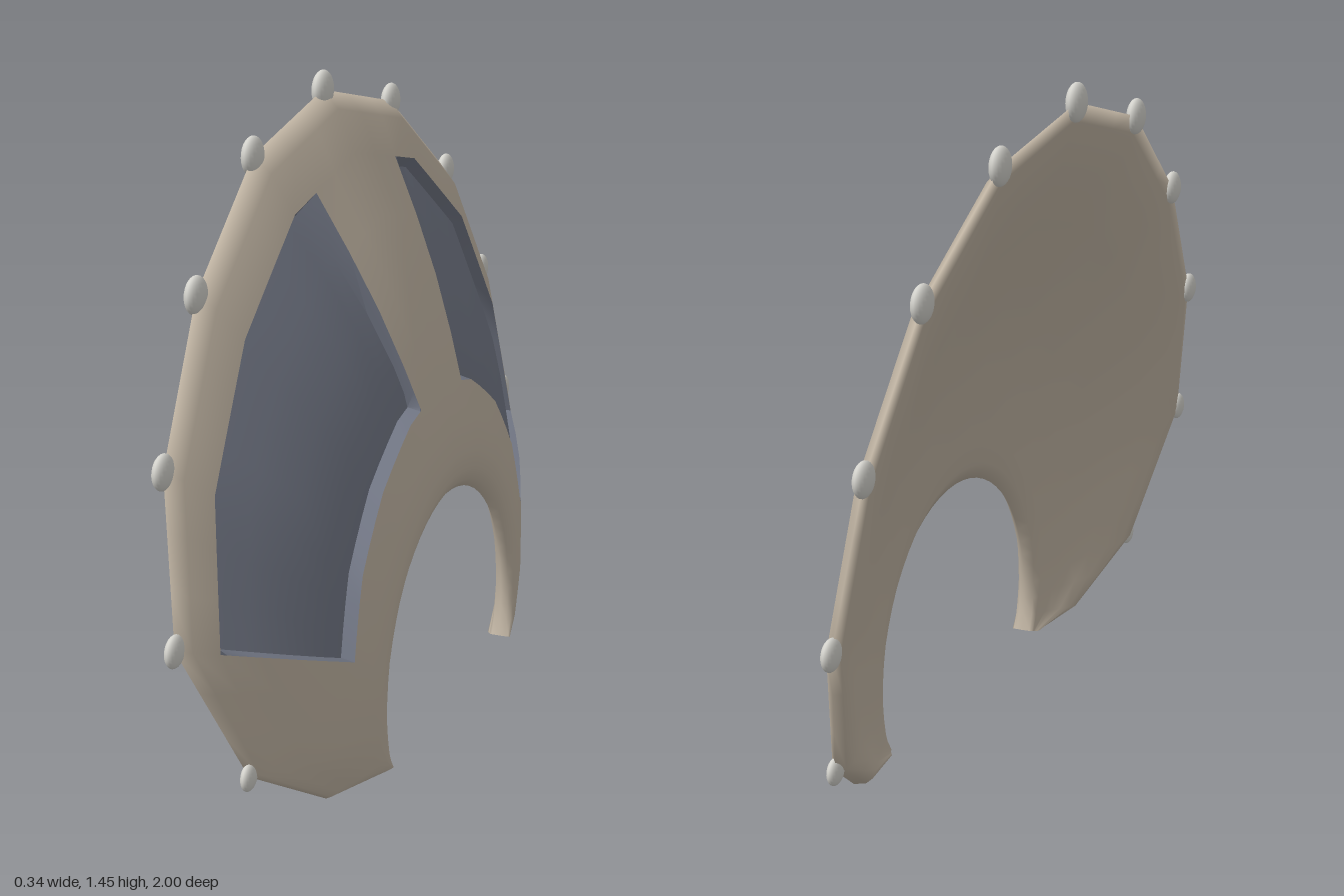
import * as THREE from 'three';
import { toCreasedNormals } from 'three/addons/utils/BufferGeometryUtils.js';

const DEG = Math.PI / 180, CENTRE_Y = 0.11, INNER_R = 0.4, FRONT_X = 0.17;

// Outer rim of one half: angle from the top, z, y, x
const RIM = [
  [0, 0, 1.413, -0.155], [17.4, 0.383, 1.332, -0.147], [34.8, 0.7, 1.112, -0.125],
  [52.2, 0.906, 0.814, -0.1], [69.6, 0.966, 0.475, -0.055], [87, 0.815, 0.155, 0.025],
  [98.5, 0.6, 0.02, 0.1], [104.4, 0.42, 0.004, 0.15],
];
// Angles of the cross-sections and the part of them that holds a panel
const HALF = [6, 11.5, 17.4, 23.2, 29, 34.8, 40.6, 46.4, 52.2, 58, 63.8, 69.6, 75.4, 81.2, 87, 92.75, 98.5, 104.4];
const ANGLES = [...HALF.map((a) => -a).reverse(), 0, ...HALF];
const PANEL_A = [11.5, 69.6], PANEL_T = [0.15, 0.72];

// Cross-section: [share of the way from rim to arch, share of the forward rise, depth behind that]
const FRONT = [[0, 0, 0], [0.045, 0.115, 0], [0.15, 0.24, 0], [0.3, 0.44, 0], [0.45, 0.62, 0], [0.6, 0.77, 0],
  [0.72, 0.875, 0], [0.82, 0.95, 0], [0.9, 0.99, 0], [0.95, 1, 0.004], [0.98, 1, 0.013], [1, 1, 0.028]];
const BACK = [[0.96, 1, 0.047], [0.9, 0.99, 0.053], [0.72, 0.875, 0.053], [0.6, 0.77, 0.053],
  [0.45, 0.62, 0.053], [0.3, 0.44, 0.053], [0.15, 0.24, 0.046], [0.045, 0.115, 0.032]];
const SECTION = [...FRONT, ...BACK];

// Panel floor: [share towards the arch, depth below the shell]
const FLOOR = [[0.175, 0.03], [0.3, 0.022], [0.45, 0.018], [0.6, 0.018], [0.67, 0.021], [0.712, 0.028]];

// Linear interpolation in a table of rows sorted by their first entry
function lookup(table, key) {
  let i = 1;
  while (i < table.length - 1 && table[i][0] < key) i++;
  const a = table[i - 1], b = table[i], s = (key - a[0]) / (b[0] - a[0]);
  return a.map((v, k) => v + (b[k] - v) * s);
}

// Point of the shell at an angle, a share t towards the arch, a rise f and a depth
function shellPoint(angle, [t, f, depth]) {
  const [, rz, ry, rx] = lookup(RIM, Math.abs(angle));
  const side = Math.sign(angle), a = angle * DEG;
  const z = THREE.MathUtils.lerp(rz * side, Math.sin(a) * INNER_R, t);
  const y = THREE.MathUtils.lerp(ry, CENTRE_Y + Math.cos(a) * INNER_R, t);
  return [THREE.MathUtils.lerp(rx, FRONT_X, f) - depth, y, z];
}

function indexedGeometry(positions, index) {
  const geometry = new THREE.BufferGeometry();
  geometry.setAttribute('position', new THREE.Float32BufferAttribute(positions, 3));
  geometry.setIndex(index);
  geometry.computeVertexNormals();
  return geometry;
}

// Crescent shell, left open where the panels are sunk in
function shellGeometry() {
  const n = SECTION.length, positions = [], index = [];
  ANGLES.forEach((angle) => SECTION.forEach((row) => positions.push(...shellPoint(angle, row))));
  for (let i = 0; i < ANGLES.length - 1; i++) {
    const mid = Math.abs(ANGLES[i] + ANGLES[i + 1]) / 2;
    const inAngle = mid > PANEL_A[0] && mid < PANEL_A[1];
    for (let j = 0; j < n; j++) {
      const t = SECTION[j][0];
      if (inAngle && j < FRONT.length - 1 && t >= PANEL_T[0] && t < PANEL_T[1]) continue;
      const k = (j + 1) % n;
      const a = i * n + j, b = a + n, c = (i + 1) * n + k, d = i * n + k;
      index.push(a, b, c, a, c, d);
    }
  }
  return indexedGeometry(positions, index);
}

// Flat end of the crescent
function tipGeometry(side) {
  const n = SECTION.length, index = [];
  const points = SECTION.map((row) => shellPoint(side * 104.4, row));
  const middle = [0, 1, 2].map((k) => points.reduce((sum, p) => sum + p[k], 0) / n);
  for (let j = 0; j < n; j++) {
    const k = (j + 1) % n;
    index.push(n, ...(side > 0 ? [k, j] : [j, k]));
  }
  return indexedGeometry([...points, middle].flat(), index);
}

// Sunken panel: a floor that follows the shell and dips towards its ends,
// with a wall near the top that leans more towards the rim
function panelGeometry(side) {
  const inner = HALF.filter((a) => a > PANEL_A[0] && a < PANEL_A[1]);
  const columns = [PANEL_A[0], PANEL_A[0] + 0.4, ...inner, PANEL_A[1] - 0.5, PANEL_A[1]];
  if (side < 0) columns.reverse();
  const rows = [[PANEL_T[0], 0], ...FLOOR, [PANEL_T[1], 0]];
  const positions = [], index = [], m = rows.length;
  columns.forEach((column, i) => rows.forEach(([t, depth], j) => {
    const onSide = i === 0 || i === columns.length - 1;
    const onEnd = j === 0 || j === m - 1;
    const lean = column === PANEL_A[0] + 0.4 && !onEnd ? 3 * (1 - t / PANEL_T[1]) : 0;
    const rise = lookup(FRONT, t)[1];
    positions.push(...shellPoint(side * (column + lean), [t, rise, onSide ? 0 : depth]));
    if (i < columns.length - 1 && j < m - 1) {
      const a = i * m + j, b = a + m;
      index.push(a, b, b + 1, a, b + 1, a + 1);
    }
  }));
  return toCreasedNormals(indexedGeometry(positions, index), 0.6);
}

export function createModel() {
  const tan = new THREE.MeshStandardMaterial({ color: 0xbfb3a2, side: THREE.DoubleSide });
  tan.name = 'tan';
  const slate = new THREE.MeshStandardMaterial({ color: 0x727785, side: THREE.DoubleSide });
  slate.name = 'slate blue';
  const pearl = new THREE.MeshStandardMaterial({ color: 0xd2d1cb });
  pearl.name = 'pearl';

  const model = new THREE.Group();
  model.name = 'crescentHeadpiece';
  const add = (name, geometry, material) => {
    const mesh = new THREE.Mesh(geometry, material);
    mesh.name = name;
    model.add(mesh);
    return mesh;
  };

  add('shell', shellGeometry(), tan);
  for (const side of [-1, 1]) {
    add('shellTip', tipGeometry(side), tan);
    add('panel', panelGeometry(side), slate);
  }

  // Flattened beads on the corners of the rim
  const bead = new THREE.SphereGeometry(1, 20, 14);
  const radii = [0.044, 0.042, 0.04, 0.037, 0.034, 0.03];
  radii.forEach((radius, i) => {
    const [, z, y, x] = RIM[i];
    for (const side of i === 0 ? [1] : [-1, 1]) {
      const mesh = add('rimBead', bead, pearl);
      mesh.position.set(x, y, side * z);
      mesh.scale.set(radius * 0.45, radius, radius);
    }
  });
  return model;
}
